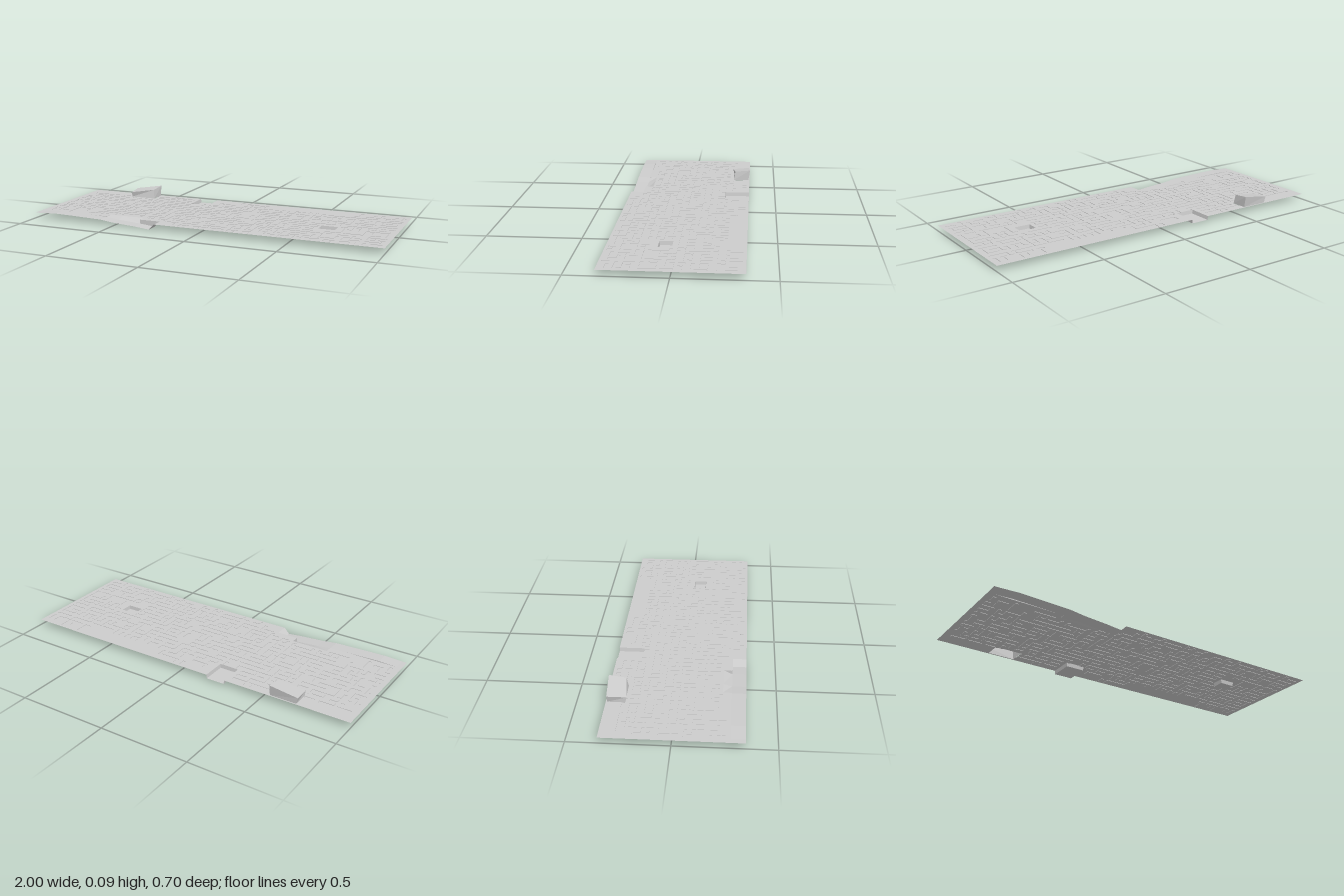
import * as THREE from 'three';

const TOP = 0.031, FLOOR = 0.0285; // plate surface and groove floor
const ZE = 0.347;                  // half depth of the plate
const PITCH = 0.04, WIDTH = 0.42;  // maze spacing, share taken by a groove

// rectangles [x0, x1, z0, z1] cut from the plate
const holes = [
  [-0.70, -0.55, -0.34, -0.25],  // under the block
  [-0.28, -0.17, -ZE, -0.21],    // back channel
  [0.59, 0.68, 0.02, 0.09],      // pit
  [-0.97, -0.25, 0.275, ZE],     // front trough
  [-0.58, -0.37, 0.23, 0.275],   // ramp into the trough
];
// areas of the plate left smooth
const blanks = [
  [-1, -0.56, -ZE, -0.26], [0.2, 0.7, -ZE, -0.25], [-0.3, -0.15, -ZE, -0.2],
  [0.57, 0.7, 0, 0.11], [-1, -0.22, 0.25, ZE], [-0.6, -0.35, 0.21, ZE],
  [-1, -0.97, -ZE, ZE], [-0.15, 0, -ZE, -0.29], [0.985, 1, -ZE, ZE],
];
const within = (list, x, z) => list.some(([a, b, c, d]) => x > a && x < b && z > c && z < d);

// repeatable noise for the maze edges
function noise(i, j, k) {
  const s = Math.sin(i * 127.1 + j * 311.7 + k * 74.7) * 43758.5453;
  return s - Math.floor(s);
}
const across = (i, j) => noise(i, j, 1) < 0.56;
const along = (i, j) => noise(i, j, 2) < 0.36;

// whether a point of the plate lies in a groove
function isGroove(x, z) {
  if (Math.abs(z) > 0.335 || within(blanks, x, z)) return false;
  const u = (x + 1) / PITCH, v = (z + ZE) / PITCH;
  const i = Math.floor(u), j = Math.floor(v);
  const inColumn = u - i < WIDTH, inRow = v - j < WIDTH;
  if (inColumn && inRow) return across(i, j) || across(i - 1, j) || along(i, j) || along(i, j - 1);
  if (inRow) return across(i, j);
  return inColumn && along(i, j);
}

const material = new THREE.MeshStandardMaterial({
  color: 0xcccccc, flatShading: true, side: THREE.DoubleSide,
});

// mesh from a list of four-cornered faces
function faces(name, quads) {
  const pos = [];
  for (const [a, b, c, d] of quads) pos.push(...a, ...b, ...c, ...a, ...c, ...d);
  const g = new THREE.BufferGeometry();
  g.setAttribute('position', new THREE.Float32BufferAttribute(pos, 3));
  g.computeVertexNormals();
  const mesh = new THREE.Mesh(g, material);
  mesh.name = name;
  return mesh;
}

// sorted grid lines: plate ends, groove sides and hole edges
function gridLines(half, extra) {
  const lines = [-half, half, ...extra];
  for (let p = -half; p < half; p += PITCH) lines.push(p, p + PITCH * WIDTH);
  lines.sort((a, b) => a - b);
  return lines.filter((p, i) => p <= half && (i === 0 || p - lines[i - 1] > 1e-6));
}

// thin plate with the maze pressed into it
function makePlate() {
  const xs = gridLines(1, holes.flatMap((h) => [h[0], h[1]]));
  const zs = gridLines(ZE, holes.flatMap((h) => [h[2], h[3]]));
  const height = (i, j) => {
    if (i < 0 || j < 0 || i >= xs.length - 1 || j >= zs.length - 1) return null;
    const x = (xs[i] + xs[i + 1]) / 2, z = (zs[j] + zs[j + 1]) / 2;
    if (within(holes, x, z)) return null;
    return isGroove(x, z) ? FLOOR : TOP;
  };
  const quads = [];
  for (let i = 0; i < xs.length - 1; i++) {
    for (let j = 0; j < zs.length - 1; j++) {
      const y = height(i, j);
      if (y === null) continue;
      const x0 = xs[i], x1 = xs[i + 1], z0 = zs[j], z1 = zs[j + 1];
      quads.push([[x0, y, z0], [x0, y, z1], [x1, y, z1], [x1, y, z0]]);
      // groove sides
      const r = height(i + 1, j), f = height(i, j + 1);
      if (r !== null && r !== y) quads.push([[x1, y, z0], [x1, y, z1], [x1, r, z1], [x1, r, z0]]);
      if (f !== null && f !== y) quads.push([[x0, y, z1], [x0, f, z1], [x1, f, z1], [x1, y, z1]]);
    }
  }
  return faces('mazePlate', quads);
}

// sunken box with slightly tapered walls, optionally open at the back
function makePit(name, [x0, x1, z0, z1], y, openBack) {
  const t = 0.003, zb = openBack ? z0 : z0 + t;
  const rim = [[x0, TOP, z0], [x0, TOP, z1], [x1, TOP, z1], [x1, TOP, z0]];
  const base = [[x0 + t, y, zb], [x0 + t, y, z1 - t], [x1 - t, y, z1 - t], [x1 - t, y, zb]];
  const quads = [base];
  for (let k = 0; k < (openBack ? 3 : 4); k++) {
    const n = (k + 1) % 4;
    quads.push([rim[k], rim[n], base[n], base[k]]);
  }
  return faces(name, quads);
}

// hollow block with a tilted top
function makeBlock() {
  const base = [[-0.70, TOP, -0.34], [-0.70, TOP, -0.25], [-0.55, TOP, -0.25], [-0.55, TOP, -0.34]];
  const top = [[-0.71, 0.067, -0.342], [-0.70, 0.06, -0.242], [-0.555, 0.083, -0.26], [-0.55, 0.093, -0.35]];
  const quads = [top];
  for (let k = 0; k < 4; k++) {
    const n = (k + 1) % 4;
    quads.push([base[k], base[n], top[n], top[k]]);
  }
  return faces('tiltedBlock', quads);
}

// front trough whose floor falls towards the middle, with a ramp behind it
function makeTrough() {
  const profile = [[-0.97, TOP], [-0.87, 0.036], [-0.78, 0.034], [-0.58, 0.028],
    [-0.50, 0.018], [-0.37, 0.009], [-0.28, 0], [-0.25, TOP]];
  const zb = 0.275, zr = 0.23;
  const floor = [], ramp = [];
  for (let k = 0; k < profile.length - 1; k++) {
    const [xa, ya] = profile[k], [xb, yb] = profile[k + 1];
    floor.push([[xa, ya, zb], [xa, ya, ZE], [xb, yb, ZE], [xb, yb, zb]]);
    const onRamp = xa >= -0.58 && xb <= -0.37;
    const z = onRamp ? zr : zb;
    (onRamp ? ramp : floor).push([[xa, TOP, z], [xa, ya, zb], [xb, yb, zb], [xb, TOP, z]]);
  }
  // ramp cheeks
  for (const [x, y] of [profile[3], profile[5]]) {
    ramp.push([[x, TOP, zr], [x, y, zb], [x, TOP, zb], [x, TOP, zr]]);
  }
  const group = new THREE.Group();
  group.name = 'frontTrough';
  group.add(faces('troughFloor', floor), faces('troughRamp', ramp));
  return group;
}

export function createModel() {
  const model = new THREE.Group();
  model.name = 'mazeBoard';
  model.add(
    makePlate(),
    makePit('backChannel', holes[1], 0.01, true),
    makePit('pit', holes[2], 0.01, false),
    makeBlock(),
    makeTrough(),
  );
  return model;
}
